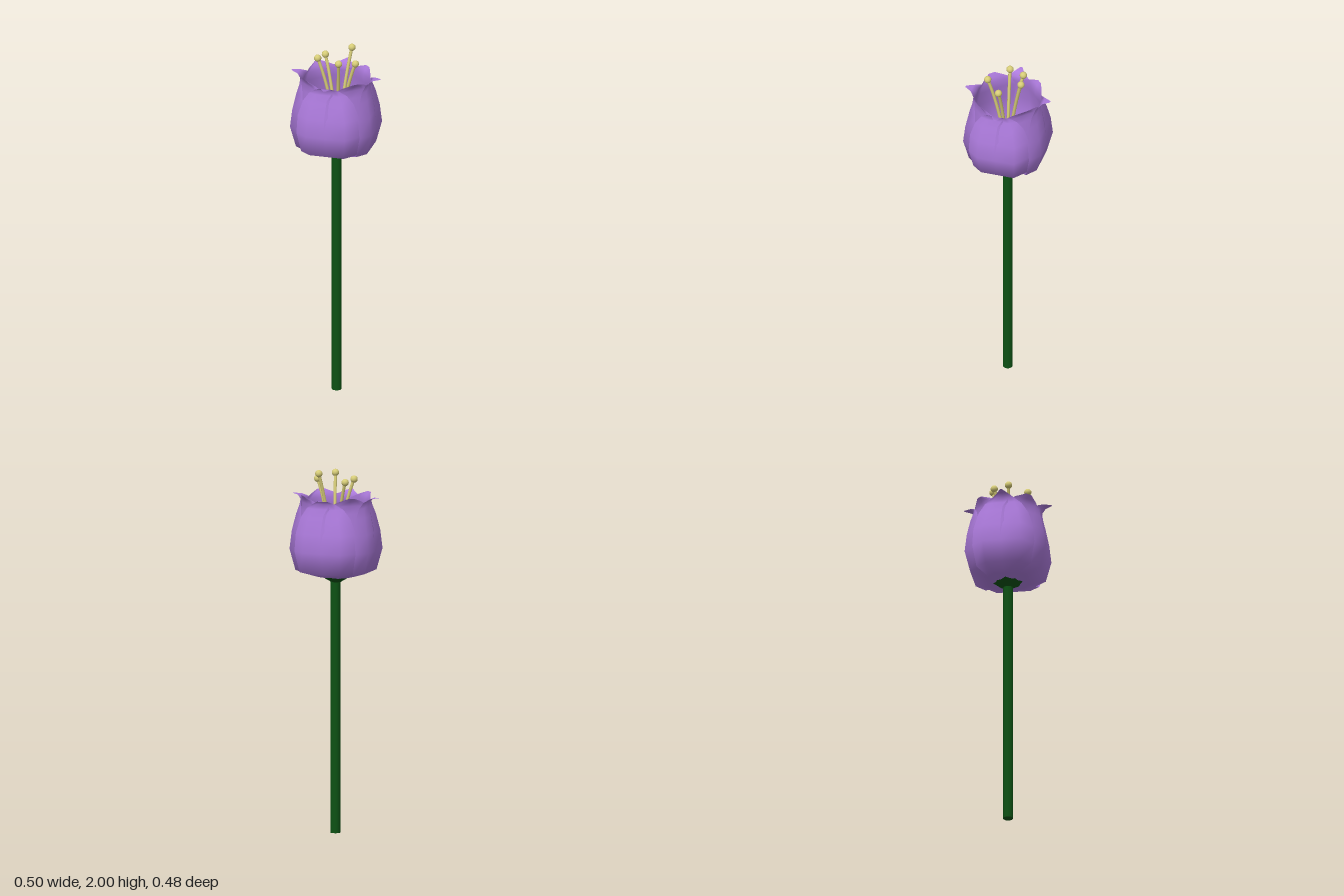
import * as THREE from 'three';

const purple = new THREE.MeshStandardMaterial({ color: 0xad7bdd, side: THREE.DoubleSide });
purple.name = 'petal purple';
const green = new THREE.MeshStandardMaterial({ color: 0x0d5214 });
green.name = 'stem green';
const yellow = new THREE.MeshStandardMaterial({ color: 0xd6cc78 });
yellow.name = 'stamen yellow';

// Petal facing +z. Each row: distance from axis, height, half width, fall-back of the edges
function petalGeometry(rows) {
  const columns = [-1, -0.62, 0, 0.62, 1];
  const positions = [], index = [];
  rows.forEach(([r, y, w, drop], i) => {
    columns.forEach((t, j) => {
      // The left edge lies outside its neighbour, the right edge tucks inside
      const edge = j === 0 ? 0.6 : j === 4 ? 1 : 0;
      positions.push(t * w, y, r - drop * edge);
      if (i > 0 && j > 0) {
        const d = i * 5 + j, c = d - 1, b = d - 5, a = b - 1;
        index.push(a, b, d, a, d, c);
      }
    });
  });
  const geometry = new THREE.BufferGeometry();
  geometry.setAttribute('position', new THREE.Float32BufferAttribute(positions, 3));
  geometry.setIndex(index);
  geometry.computeVertexNormals();
  return geometry;
}

const outerRows = [
  [0.02, 1.393, 0.02, 0.01], [0.11, 1.415, 0.1, 0.05], [0.2, 1.443, 0.155, 0.075],
  [0.23, 1.56, 0.175, 0.085], [0.218, 1.66, 0.17, 0.08], [0.2, 1.75, 0.14, 0.05],
  [0.188, 1.8, 0.105, 0.025], [0.19, 1.828, 0.065, 0.01], [0.21, 1.846, 0.03, 0],
  [0.25, 1.85, 0.006, 0],
];
const innerRows = [
  [0.02, 1.405, 0.02, 0.01], [0.165, 1.455, 0.145, 0.05], [0.198, 1.56, 0.168, 0.07],
  [0.188, 1.68, 0.16, 0.065], [0.172, 1.77, 0.14, 0.05], [0.172, 1.815, 0.115, 0.03],
  [0.183, 1.84, 0.07, 0.012], [0.2, 1.86, 0.018, 0],
];

export function createModel() {
  const model = new THREE.Group();
  model.name = 'flower';
  const add = (parent, geometry, material, name) => {
    const mesh = new THREE.Mesh(geometry, material);
    mesh.name = name;
    parent.add(mesh);
    return mesh;
  };

  // Stem and the small cup under the petals
  add(model, new THREE.CylinderGeometry(0.027, 0.027, 1.4, 16), green, 'stem').position.set(0.004, 0.7, 0);
  add(model, new THREE.CylinderGeometry(0.085, 0.027, 0.034, 8), green, 'calyx').position.set(0, 1.394, 0);

  // Two whorls of four overlapping petals
  const blossom = new THREE.Group();
  blossom.name = 'blossom';
  blossom.scale.z = 0.96;
  model.add(blossom);
  const outer = petalGeometry(outerRows), inner = petalGeometry(innerRows);
  for (let i = 0; i < 4; i++) {
    add(blossom, outer, purple, 'outerPetal').rotation.y = i * Math.PI / 2 + 0.04;
    add(blossom, inner, purple, 'innerPetal').rotation.y = (i + 0.5) * Math.PI / 2 + 0.04;
  }

  // Curved stamens with round anthers
  const tips = [
    [0.06, 1.98, -0.095], [-0.08, 1.935, -0.06], [-0.097, 1.943, 0.022],
    [0.115, 1.934, 0.015], [0.047, 1.958, 0.1],
  ];
  for (const [x, y, z] of tips) {
    const stamen = new THREE.Group();
    stamen.name = 'stamen';
    model.add(stamen);
    const curve = new THREE.QuadraticBezierCurve3(
      new THREE.Vector3(0.01, 1.41, 0),
      new THREE.Vector3(0.01 + (x - 0.01) * 0.3, 1.74, z * 0.3),
      new THREE.Vector3(x, y, z));
    add(stamen, new THREE.TubeGeometry(curve, 14, 0.009, 8), yellow, 'filament');
    add(stamen, new THREE.SphereGeometry(0.02, 16, 12), yellow, 'anther').position.set(x, y, z);
  }
  return model;
}
